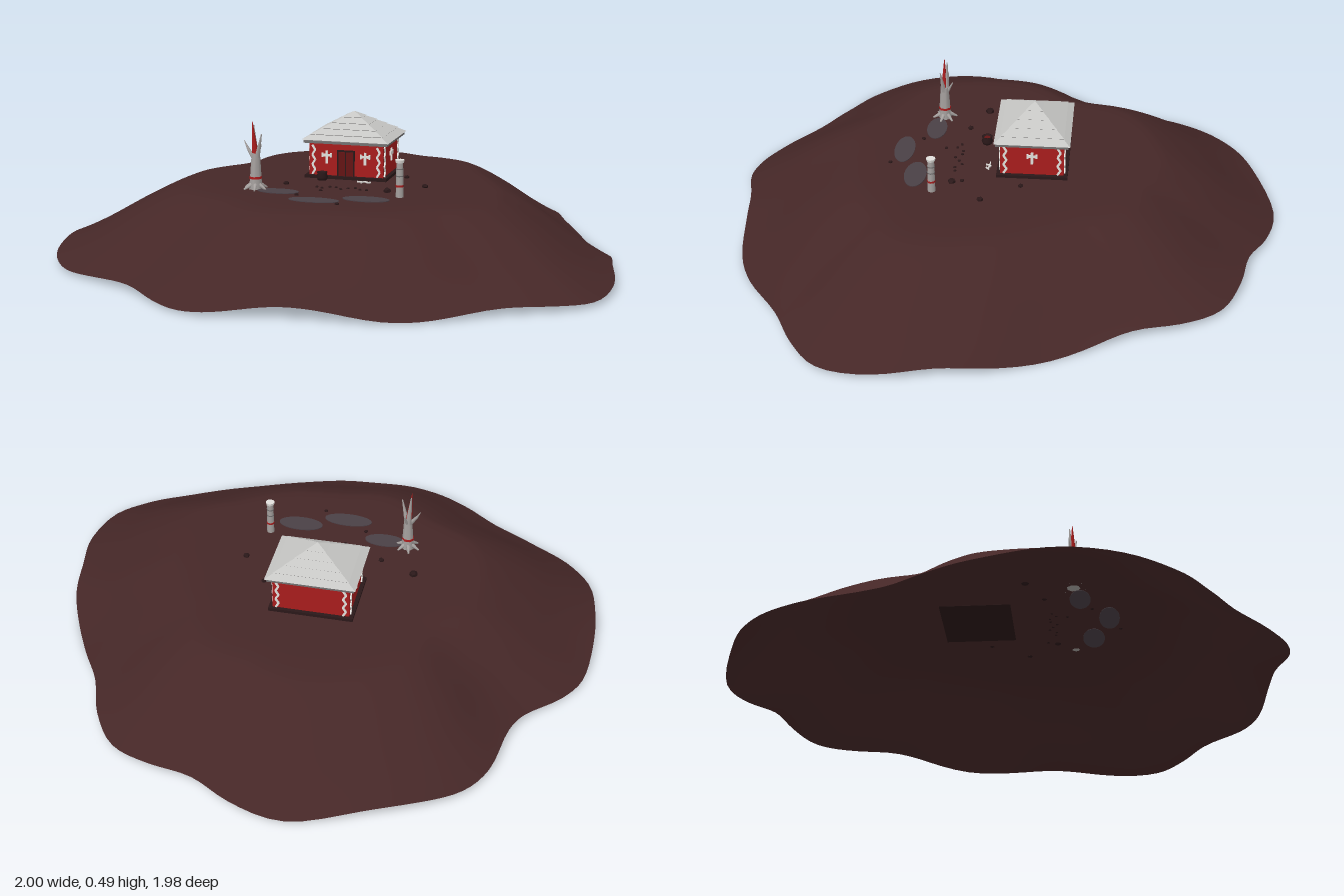
import * as THREE from 'three';

const mat = (name, color, extra = {}) => {
  const m = new THREE.MeshStandardMaterial({ color, ...extra });
  m.name = name;
  return m;
};
const M = {
  earth: mat('dark earth', 0x452727, { side: THREE.DoubleSide }),
  red: mat('wall red', 0xa81c1c),
  roof: mat('roof grey', 0xc6c6c4),
  seam: mat('seam grey', 0x727070),
  white: mat('trim white', 0xe2e0dc),
  wood: mat('pale dead wood', 0xa5a09e),
  door: mat('door red', 0x641414),
  dark: mat('dark stone', 0x2a1819),
  puddle: mat('puddle grey', 0x4a4046),
};
const GROUND = 0.253;

function add(parent, name, geo, material, x = 0, y = 0, z = 0) {
  const m = new THREE.Mesh(geo, material);
  m.name = name;
  m.position.set(x, y, z);
  parent.add(m);
  return m;
}
const box = (w, h, d) => new THREE.BoxGeometry(w, h, d);

// Tapered four-sided block with hard edges
function frustum(w0, d0, w1, h, d1overd0) {
  const g = new THREE.CylinderGeometry(w1 / w0 * Math.SQRT1_2, Math.SQRT1_2, h, 4);
  g.rotateY(Math.PI / 4).scale(w0, 1, d0);
  const flat = g.toNonIndexed();
  flat.computeVertexNormals();
  return flat;
}

// Tapered limb between two points
function limb(parent, name, a, b, r0, r1, material) {
  const A = new THREE.Vector3(...a), B = new THREE.Vector3(...b);
  const m = add(parent, name, new THREE.CylinderGeometry(r1, r0, A.distanceTo(B), 7), material);
  m.position.copy(A).lerp(B, 0.5);
  m.quaternion.setFromUnitVectors(new THREE.Vector3(0, 1, 0), B.sub(A).normalize());
  return m;
}

// Mound: wavy outline scaled inwards along a height profile
function mound() {
  const outline = [
    [-0.1, -0.99], [0.1, -0.95], [0.24, -0.885], [0.4, -0.85], [0.55, -0.78], [0.65, -0.64],
    [0.71, -0.48], [0.8, -0.32], [0.9, -0.12], [0.945, 0], [0.97, 0.15], [1, 0.35],
    [0.96, 0.54], [0.85, 0.64], [0.7, 0.72], [0.5, 0.85], [0.35, 0.91], [0.15, 0.935],
    [0, 0.95], [-0.18, 0.985], [-0.3, 0.965], [-0.41, 0.9], [-0.55, 0.78], [-0.7, 0.7],
    [-0.85, 0.61], [-0.95, 0.47], [-0.99, 0.28], [-1, 0.1], [-0.98, -0.08], [-0.92, -0.19],
    [-0.8, -0.33], [-0.76, -0.42], [-0.72, -0.62], [-0.65, -0.74], [-0.52, -0.84], [-0.35, -0.92],
  ];
  const rim = new THREE.CatmullRomCurve3(outline.map(([x, z]) => new THREE.Vector3(x, 0, z)), true);
  const profile = new THREE.SplineCurve([[0, 0.253], [0.3, 0.253], [0.53, 0.252], [0.62, 0.232],
    [0.74, 0.172], [0.87, 0.093], [0.95, 0.048], [1, 0.023]].map(p => new THREE.Vector2(...p)));
  const N = 144, R = 36, pos = [], idx = [];
  for (let i = 0; i <= R; i++) {
    const { x: t, y } = profile.getPoint(i / R);
    for (let j = 0; j < N; j++) {
      const p = rim.getPoint(j / N), a = Math.atan2(p.z, p.x);
      const wave = (0.012 * Math.sin(9 * a + 0.6) + 0.009 * Math.sin(5 * a)) * Math.pow(t, 6);
      pos.push(p.x * t, Math.max(0, y + wave), p.z * t);
      if (i < R) {
        const k = (j + 1) % N, q = i * N;
        idx.push(q + j, q + k, q + N + j, q + k, q + N + k, q + N + j);
      }
    }
  }
  const g = new THREE.BufferGeometry();
  g.setAttribute('position', new THREE.Float32BufferAttribute(pos, 3));
  g.setIndex(idx);
  g.computeVertexNormals();
  return g;
}

// White painted cross, with short end bars
function cross(parent, x, y) {
  add(parent, 'crossUpright', box(0.009, 0.046, 0.006), M.white, x, y, 0.002);
  add(parent, 'crossBar', box(0.036, 0.009, 0.006), M.white, x, y + 0.007, 0.002);
  for (const s of [-1, 1]) add(parent, 'crossEnd', box(0.006, 0.016, 0.006), M.white, x + s * 0.016, y + 0.007, 0.002);
}

function house() {
  const g = new THREE.Group();
  g.name = 'house';
  g.position.set(-0.017, GROUND, -0.105);
  const W = 0.276, D = 0.226, H = 0.135;
  add(g, 'plinth', box(0.305, 0.012, 0.254), M.dark, 0, 0.005, 0);
  add(g, 'walls', box(W, H, D), M.red, 0, H / 2, 0);

  // Tiered hip roof
  const RW = 0.325, RD = 0.27, tiers = 5, step = 0.018;
  add(g, 'eaves', box(RW - 0.012, 0.008, RD - 0.012), M.seam, 0, 0.133, 0);
  for (let i = 0; i < tiers; i++) {
    const f = 1 - i / tiers, n = 1 - (i + 1) / tiers, y = 0.141 + i * step;
    const b = i ? f + 0.035 : f;
    if (i) add(g, 'roofSeam', box(RW * (f + 0.022), 0.005, RD * (f + 0.022)), M.seam, 0, y - 0.002, 0);
    add(g, 'roofTier', frustum(RW * b, RD * b, RW * Math.max(n, 0.01), step), M.roof, 0, y + step / 2, 0);
  }

  // Wall dressing: zigzag corners on every face, crosses and door where needed
  const faces = [['front', 0, W, D], ['left', 1, D, W], ['back', 2, W, D], ['right', 3, D, W]];
  for (const [name, turn, width, depth] of faces) {
    const face = new THREE.Group();
    face.name = name + 'WallTrim';
    face.rotation.y = turn * Math.PI / 2;
    face.position.set(Math.sin(face.rotation.y) * depth / 2, 0, Math.cos(face.rotation.y) * depth / 2);
    g.add(face);
    for (const s of [-1, 1]) {
      for (let k = 0; k < 6; k++) {
        const z = add(face, 'zigzag', box(0.007, 0.021, 0.006), M.white, s * (width / 2 - 0.017), 0.022 + k * 0.018, 0.002);
        z.rotation.z = (k % 2 ? 1 : -1) * 0.55;
      }
      if (turn === 0) cross(face, s * 0.072, 0.078);
    }
    if (turn % 2) cross(face, 0, 0.078);
    if (turn === 0) {
      add(face, 'door', box(0.056, 0.088, 0.006), M.door, 0, 0.055, 0.002);
      add(face, 'doorGap', box(0.004, 0.088, 0.008), M.dark, 0, 0.055, 0.002);
      for (const s of [-1, 1]) add(face, 'doorJamb', box(0.005, 0.094, 0.008), M.dark, s * 0.03, 0.058, 0.002);
      add(face, 'doorLintel', box(0.066, 0.006, 0.008), M.dark, 0, 0.103, 0.002);
    }
  }
  return g;
}

function deadTree() {
  const g = new THREE.Group();
  g.name = 'deadTree';
  g.position.set(-0.28, GROUND, 0.25);
  limb(g, 'trunk', [0, 0, 0], [0.002, 0.13, 0], 0.024, 0.015, M.wood);
  limb(g, 'redSpike', [0, 0.12, 0], [-0.009, 0.24, 0], 0.013, 0.001, M.red);
  limb(g, 'topSpike', [0, 0.11, -0.006], [-0.008, 0.228, -0.01], 0.012, 0.002, M.wood);
  limb(g, 'leftBranch', [0.004, 0.1, 0], [0.028, 0.2, 0.012], 0.011, 0.002, M.wood);
  limb(g, 'rightBranch', [0, 0.1, 0], [-0.03, 0.145, -0.008], 0.009, 0.005, M.wood);
  limb(g, 'rightTwig', [-0.029, 0.143, -0.008], [-0.044, 0.17, -0.012], 0.005, 0.001, M.wood);
  limb(g, 'backBranch', [0, 0.09, 0], [0.012, 0.155, -0.032], 0.008, 0.002, M.wood);
  add(g, 'redBand', new THREE.CylinderGeometry(0.022, 0.023, 0.008, 7), M.red, 0, 0.042, 0);
  for (let i = 0; i < 6; i++) {
    const a = i * Math.PI / 3 + 0.3;
    limb(g, 'root', [0, 0.025, 0], [Math.cos(a) * 0.045, 0.002, Math.sin(a) * 0.045], 0.012, 0.003, M.wood);
  }
  return g;
}

function post() {
  const g = new THREE.Group();
  g.name = 'post';
  g.position.set(0.241, GROUND, 0.24);
  add(g, 'shaft', new THREE.CylinderGeometry(0.012, 0.014, 0.125, 8), M.wood, 0, 0.0625, 0);
  add(g, 'cap', new THREE.CylinderGeometry(0.017, 0.015, 0.01, 8), M.white, 0, 0.127, 0);
  add(g, 'redBand', new THREE.CylinderGeometry(0.0145, 0.0145, 0.007, 8), M.red, 0, 0.04, 0);
  for (const y of [0.075, 0.1]) add(g, 'groove', new THREE.CylinderGeometry(0.0138, 0.0138, 0.004, 8), M.seam, 0, y, 0);
  return g;
}

function cauldron() {
  const g = new THREE.Group();
  g.name = 'cauldron';
  g.position.set(-0.088, GROUND, 0.073);
  const prof = [[0, 0.004], [0.016, 0.007], [0.021, 0.018], [0.017, 0.03], [0.02, 0.036], [0.016, 0.037], [0.014, 0.03], [0, 0.028]];
  add(g, 'pot', new THREE.LatheGeometry(prof.map(p => new THREE.Vector2(...p)), 14), M.dark);
  add(g, 'brew', new THREE.CylinderGeometry(0.012, 0.012, 0.002, 12), M.door, 0, 0.031, 0);
  return g;
}

export function createModel() {
  const root = new THREE.Group();
  root.name = 'islandHouse';
  add(root, 'mound', mound(), M.earth);
  root.add(house(), deadTree(), post(), cauldron());

  // Thin puddles
  for (const [x, z, rx, rz] of [[-0.19, 0.27, 0.075, 0.037], [-0.03, 0.37, 0.09, 0.037], [0.14, 0.31, 0.083, 0.04]]) {
    const p = add(root, 'puddle', new THREE.CylinderGeometry(1, 1, 0.004, 28), M.puddle, x, GROUND + 0.001, z);
    p.scale.set(rx, 1, rz);
  }

  // Scattered stones and a ragged row of pebbles
  const stones = [[-0.33, 0.085, 0.016], [-0.2, 0.145, 0.011], [0.29, 0.065, 0.012], [0.18, 0.175, 0.014],
    [0.19, -0.07, 0.01], [0.065, 0.41, 0.008], [-0.11, 0.31, 0.008], [-0.05, 0.22, 0.007], [0.17, 0.14, 0.008]];
  for (let i = 0; i < 9; i++) stones.push([-0.08 + i * 0.023, 0.165 + 0.015 * Math.sin(i * 1.9), 0.006]);
  stones.forEach(([x, z, r], i) => {
    const s = add(root, 'stone', new THREE.DodecahedronGeometry(r), M.dark, x, GROUND + r * 0.3, z);
    s.scale.y = 0.75;
    s.rotation.y = i;
  });

  // Pale bone chips by the door
  for (let i = 0; i < 4; i++) {
    const b = add(root, 'boneChip', box(0.016, 0.005, 0.004), M.white, 0.045 + i * 0.012, GROUND + 0.003, 0.05 + 0.007 * (i % 2));
    b.rotation.y = i * 1.3;
  }
  return root;
}
